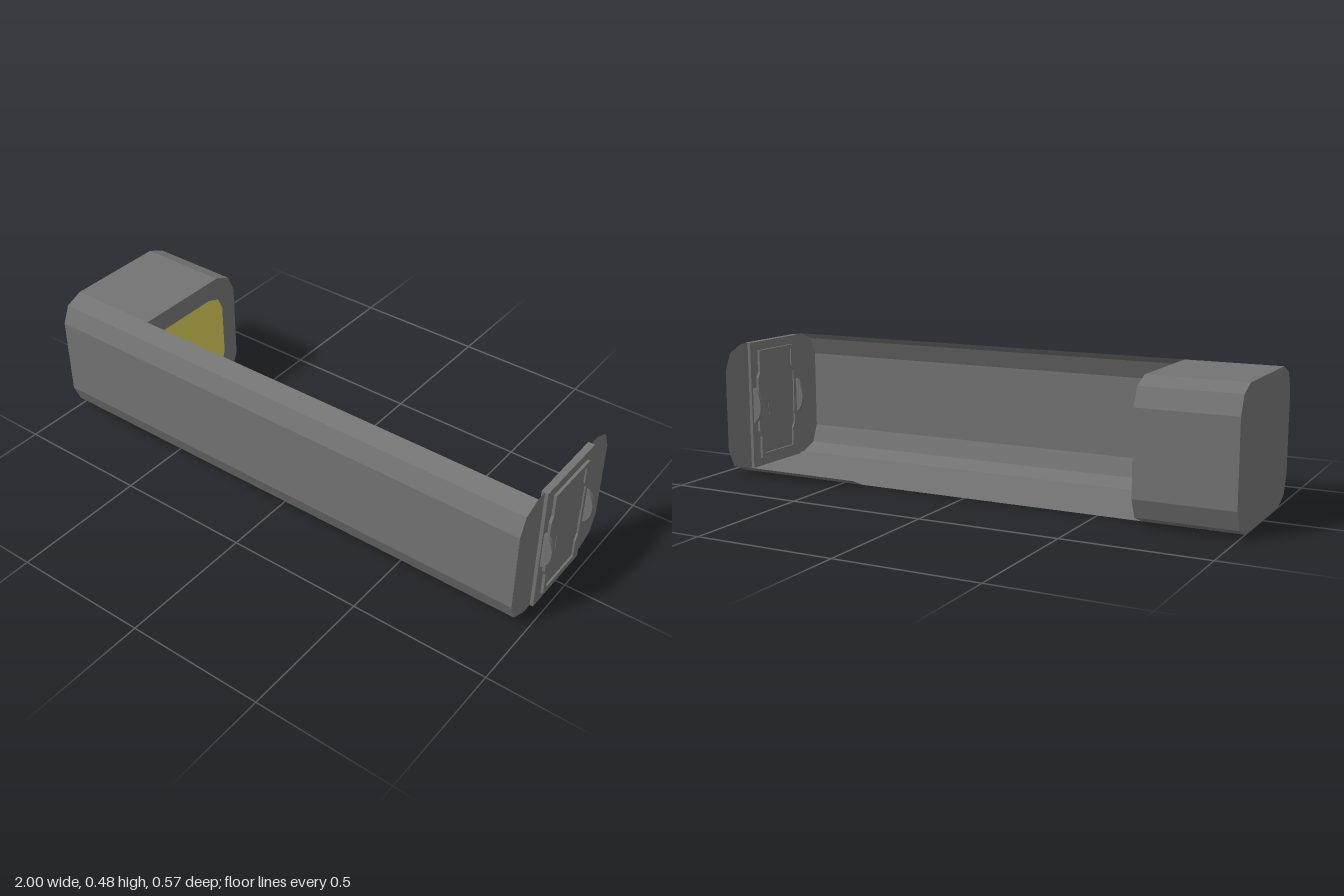
import * as THREE from 'three';

const grey = new THREE.MeshStandardMaterial({ color: 0x737373, side: THREE.DoubleSide });
grey.name = 'hull grey';
const yellow = new THREE.MeshStandardMaterial({ color: 0xd0c653, side: THREE.DoubleSide });
yellow.name = 'panel yellow';

// chamfered cross-section as [z, y], from the bottom front round to the bottom back
const half = [[0.19, 0], [0.255, 0.028], [0.283, 0.095], [0.283, 0.39], [0.255, 0.455], [0.19, 0.482]];
const profile = [...half, ...half.map(([z, y]) => [-z, y]).reverse()];
const END = 0.953;

const toShape = (pts) => new THREE.Shape(pts.map(([z, y]) => new THREE.Vector2(z, y)));

function add(group, name, geometry, material = grey) {
  const mesh = new THREE.Mesh(geometry, material);
  mesh.name = name;
  group.add(mesh);
  return mesh;
}

// flat-sided sheet following a [z, y] path between two x positions
function sheet(path, x0, x1) {
  const v = [];
  for (let i = 0; i < path.length - 1; i++) {
    const [az, ay] = path[i], [bz, by] = path[i + 1];
    v.push(x0, ay, az, x1, ay, az, x1, by, bz, x0, ay, az, x1, by, bz, x0, by, bz);
  }
  const g = new THREE.BufferGeometry();
  g.setAttribute('position', new THREE.Float32BufferAttribute(v, 3));
  g.computeVertexNormals();
  return g;
}

// flat [z, y] outline facing -x, placed at x
const plate = (shape, x) => new THREE.ShapeGeometry(shape).rotateY(-Math.PI / 2).translate(x, 0, 0);

// [z, y] outline extruded along x, centred on x
function slab(shape, x, thickness) {
  return new THREE.ExtrudeGeometry(shape, { depth: thickness, bevelEnabled: false, curveSegments: 16 })
    .translate(0, 0, -thickness / 2).rotateY(-Math.PI / 2).translate(x, 0, 0);
}

// hatch outline: narrow ends, wider waist
function hatchOutline(end, waist, bottom, top) {
  const side = [[end, bottom], [end, 0.116], [waist, 0.138], [waist, 0.345], [end, 0.366], [end, top]];
  return [...side, ...side.map(([z, y]) => [-z, y]).reverse()];
}

export function createModel() {
  const model = new THREE.Group();
  model.name = 'openModule';

  // open trough: front wall, floor and short rear ledge
  add(model, 'frontWall', sheet(profile.slice(0, 6), -1, END));
  add(model, 'floor', sheet([profile[11], profile[0]], -0.87, END));
  add(model, 'rearLedge', sheet(profile.slice(10, 12), 0.42, END));

  // closed end block
  add(model, 'endBlock', sheet(profile.slice(5), -1, -0.655));
  add(model, 'blockEnd', plate(toShape(profile), -1));
  add(model, 'blockFace', plate(toShape(profile), -0.655));
  const inset = profile.map(([z, y]) => [z * 0.74, 0.241 + (y - 0.241) * 0.7]);
  add(model, 'yellowPanel', plate(toShape(inset), -0.652), yellow);

  // end wall with raised centre strip
  add(model, 'endWall', plate(toShape(profile), END));
  const strip = [[-0.15, 0], [0.15, 0], [0.15, 0.482], [-0.15, 0.482]];
  add(model, 'centreStrip', slab(toShape(strip), END, 0.024));

  // hatch: frame and two interlocking door leaves, on both sides of the wall
  const hatch = new THREE.Group();
  hatch.name = 'hatch';
  model.add(hatch);
  const inner = hatchOutline(0.091, 0.104, 0.048, 0.433);
  const frame = toShape(hatchOutline(0.108, 0.119, 0.031, 0.449));
  frame.holes.push(new THREE.Path(inner.map(([z, y]) => new THREE.Vector2(z, y))));
  add(hatch, 'hatchFrame', slab(frame, END, 0.044));

  const seam = [[-0.104, 0.241], [-0.053, 0.241], [-0.053, 0.191], [0.053, 0.191], [0.053, 0.241], [0.104, 0.241]];
  const upper = [...seam, ...inner.slice(3, 9)];
  const lower = [...inner.slice(9), ...inner.slice(0, 3), ...[...seam].reverse()];
  add(hatch, 'upperDoor', slab(toShape(upper), END, 0.034));
  add(hatch, 'lowerDoor', slab(toShape(lower), END, 0.030));

  // curved handles either side of the hatch, passing through the wall
  for (const side of [-1, 1]) {
    const handle = new THREE.CylinderGeometry(1, 1, 0.015, 32)
      .rotateX(Math.PI / 2).scale(0.046, 0.071, 1).translate(0.954, 0.241, side * 0.134);
    add(model, side > 0 ? 'frontHandle' : 'rearHandle', handle);
  }
  return model;
}
